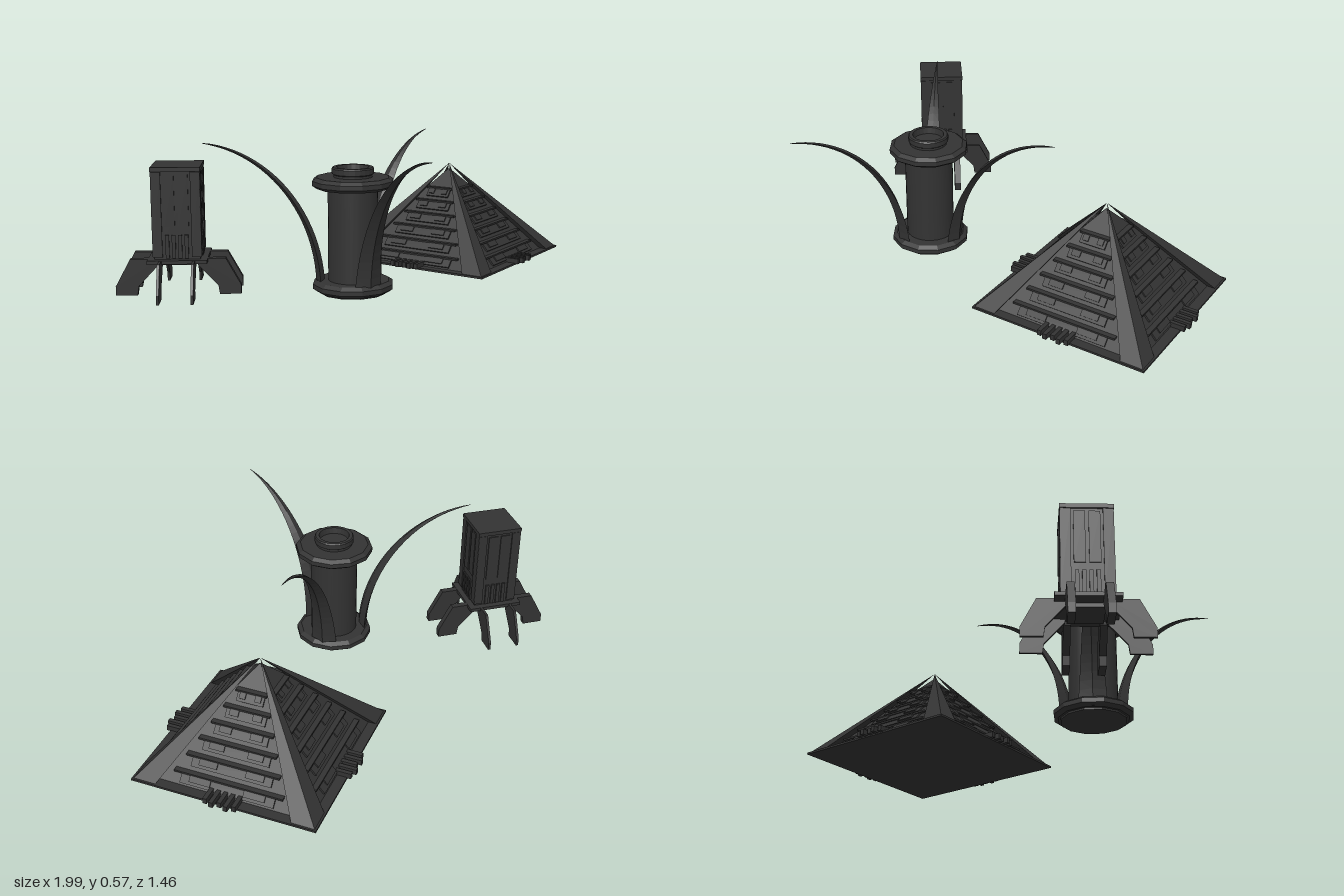
import * as THREE from 'three';

const charcoal = new THREE.MeshStandardMaterial({ color: 0x333333, flatShading: true });
charcoal.name = 'charcoal';
const charcoalSmooth = new THREE.MeshStandardMaterial({ color: 0x333333 });
charcoalSmooth.name = 'charcoal smooth';

function add(parent, name, geometry, material = charcoal) {
  const mesh = new THREE.Mesh(geometry, material);
  mesh.name = name;
  parent.add(mesh);
  return mesh;
}

function box(parent, name, w, h, d, x, y, z) {
  const mesh = add(parent, name, new THREE.BoxGeometry(w, h, d));
  mesh.position.set(x, y, z);
  return mesh;
}

function group(parent, name, x, z, turn) {
  const g = new THREE.Group();
  g.name = name;
  g.position.set(x, 0, z);
  g.rotation.y = turn;
  parent.add(g);
  return g;
}

// Solid from a four-sided base (counter-clockwise seen from above) to a point
function spire(base, baseY, apexY) {
  const pos = [];
  const p = (i) => [base[i % 4][0], baseY, base[i % 4][1]];
  for (let i = 0; i < 4; i++) pos.push(...p(i), ...p(i + 1), 0, apexY, 0);
  pos.push(...p(0), ...p(2), ...p(1), ...p(0), ...p(3), ...p(2));
  const g = new THREE.BufferGeometry();
  g.setAttribute('position', new THREE.Float32BufferAttribute(pos, 3));
  g.computeVertexNormals();
  return g;
}

function buildPyramid(root) {
  const g = group(root, 'pyramid', 0.505, -0.24, 0.49);
  const R = 0.36, H = 0.4, W = 0.09, core = 0.328, coreH = 0.378;
  const square = (a, b) => [[a, b], [b, b], [b, a], [a, a]].map(([z, x]) => [x, z]);
  box(g, 'basePlate', 2 * R, 0.008, 2 * R, 0, 0.004, 0);
  add(g, 'core', spire(square(core, -core).map(([x, z]) => [x, z]).reverse(), 0, coreH)).material = charcoal;
  for (let i = 0; i < 4; i++) {
    const side = group(g, 'pyramidSide', 0, 0, i * Math.PI / 2);
    // Raised corner buttress running up to the tip
    const a = R - W;
    add(side, 'cornerButtress', spire([[a, a], [a, R], [R, R], [R, a]], 0, H));
    // Rows of sloping slabs with a shallow lip, stepped inwards at the middle
    for (let k = 0; k < 6; k++) {
      const y = 0.03 + k * 0.05;
      const half = (R - W) * (1 - (y + 0.02) / H);
      const z = core * (1 - y / coreH);
      const slab = box(side, 'terraceSlab', half * 1.55, 0.045, 0.014, 0, y, z);
      slab.rotation.x = -Math.atan(R / H);
      box(side, 'terraceLip', half * 1.8, 0.007, 0.03, 0, y + 0.019, z - 0.014);
      for (const s of [-1, 1]) {
        const block = box(side, 'terraceBlock', half * 0.35, 0.024, 0.024, s * half * 0.45, y, z);
        block.rotation.x = slab.rotation.x;
      }
    }
    // Row of small teeth along the foot of the face
    for (let k = -2; k <= 2; k++) {
      const out = k % 2 ? 0.385 : 0.375;
      box(side, 'footTooth', 0.016, 0.022, 0.07, k * 0.028, 0.016, out - 0.035);
    }
  }
}

// Curved horn with a diamond section, swept outwards along +z
function hornGeometry() {
  const n = 24, pos = [], idx = [];
  for (let i = 0; i <= n; i++) {
    const t = 1.47 * i / n, f = 1 - i / n;
    const r = 0.62 - 0.495 * Math.cos(t), y = 0.01 + 0.565 * Math.sin(t);
    const d = new THREE.Vector2(0.495 * Math.sin(t), 0.565 * Math.cos(t)).normalize();
    const w = 0.056 * Math.pow(f, 1.1) + 0.001, th = 0.016 * Math.pow(f, 0.7) + 0.001;
    for (const [side, out] of [[0, th], [w, -th * 0.3], [0, -th], [-w, -th * 0.3]])
      pos.push(side, y - d.x * out, r + d.y * out);
  }
  for (let i = 0; i < n; i++) for (let k = 0; k < 4; k++) {
    const a = i * 4 + k, b = i * 4 + (k + 1) % 4;
    idx.push(a, b, a + 4, b, b + 4, a + 4);
  }
  idx.push(0, 2, 1, 0, 3, 2);
  const e = n * 4;
  idx.push(e, e + 1, e + 2, e, e + 2, e + 3);
  const g = new THREE.BufferGeometry();
  g.setAttribute('position', new THREE.Float32BufferAttribute(pos, 3));
  g.setIndex(idx);
  const flat = g.toNonIndexed();
  flat.computeVertexNormals();
  return flat;
}

function buildHornTower(root) {
  const g = group(root, 'hornTower', -0.18, 0.16, 0);
  const lathe = (name, points, sides, y = 0) => {
    const m = add(g, name, new THREE.LatheGeometry(points.map(([r, h]) => new THREE.Vector2(r, h)), sides));
    m.position.y = y;
    m.rotation.y = Math.PI / sides;
  };
  const column = add(g, 'column', new THREE.CylinderGeometry(0.096, 0.096, 0.42, 32, 1, true), charcoalSmooth);
  column.position.y = 0.22;
  // Chamfered twelve-sided discs at foot and head
  const disc = [[0, 0], [0.14, 0], [0.157, 0.012], [0.157, 0.03], [0.14, 0.042], [0, 0.042]];
  lathe('footDisc', disc, 12, 0.007);
  lathe('headDisc', disc, 12, 0.405);
  lathe('footPlate', [[0, 0], [0.13, 0], [0.13, 0.01]], 12);
  // Hollow cap with a ring step
  lathe('cap', [[0.074, 0.44], [0.074, 0.456], [0.08, 0.46], [0.08, 0.48], [0.076, 0.485],
    [0.062, 0.485], [0.058, 0.46], [0, 0.46]], 24);
  const horn = hornGeometry();
  for (let i = 0; i < 3; i++) add(g, 'horn', horn).rotation.y = i * Math.PI * 2 / 3;
}

function buildLeggedBlock(root) {
  const g = group(root, 'leggedBlock', -0.755, -0.18, -0.435);
  box(g, 'body', 0.172, 0.345, 0.172, 0, 0.312, 0);
  box(g, 'roof', 0.186, 0.016, 0.186, 0, 0.484, 0);
  box(g, 'platform', 0.225, 0.014, 0.225, 0, 0.134, 0);
  box(g, 'underside', 0.12, 0.016, 0.12, 0, 0.12, 0);
  // Leg outline: sloping strut with an upright toe
  const outline = [[0.07, 0.14], [0.075, 0.115], [0.15, 0.035], [0.155, 0], [0.237, 0], [0.237, 0.035], [0.18, 0.14]];
  const shape = new THREE.Shape(outline.map(([x, y]) => new THREE.Vector2(x, y)));
  for (let i = 0; i < 4; i++) {
    const side = group(g, 'blockSide', 0, 0, i * Math.PI / 2);
    // Wall panels with slots between them, and short ribs at the foot
    for (const s of [-1, 1]) {
      box(side, 'wallPanel', 0.036, 0.325, 0.008, s * 0.073, 0.312, 0.088);
      box(side, 'innerPanel', 0.04, 0.2, 0.005, s * 0.026, 0.365, 0.088);
    }
    for (let k = 0; k < 4; k++)
      box(side, 'footRib', 0.014, 0.09, 0.01, (k - 1.5) * 0.024, 0.19, 0.088);
    // Thick legs on two sides, thin ones on the other two
    const thick = i % 2 ? 0.026 : 0.01;
    const leg = new THREE.ExtrudeGeometry(shape, { depth: thick, bevelEnabled: false });
    leg.translate(0, 0, -thick / 2);
    leg.rotateY(-Math.PI / 2);
    if (!(i % 2)) leg.scale(1, 1, 0.945);
    for (const s of [-1, 1]) add(side, 'leg', leg).position.x = s * 0.063;
  }
}

export function createModel() {
  const root = new THREE.Group();
  root.name = 'structures';
  buildPyramid(root);
  buildHornTower(root);
  buildLeggedBlock(root);
  return root;
}
